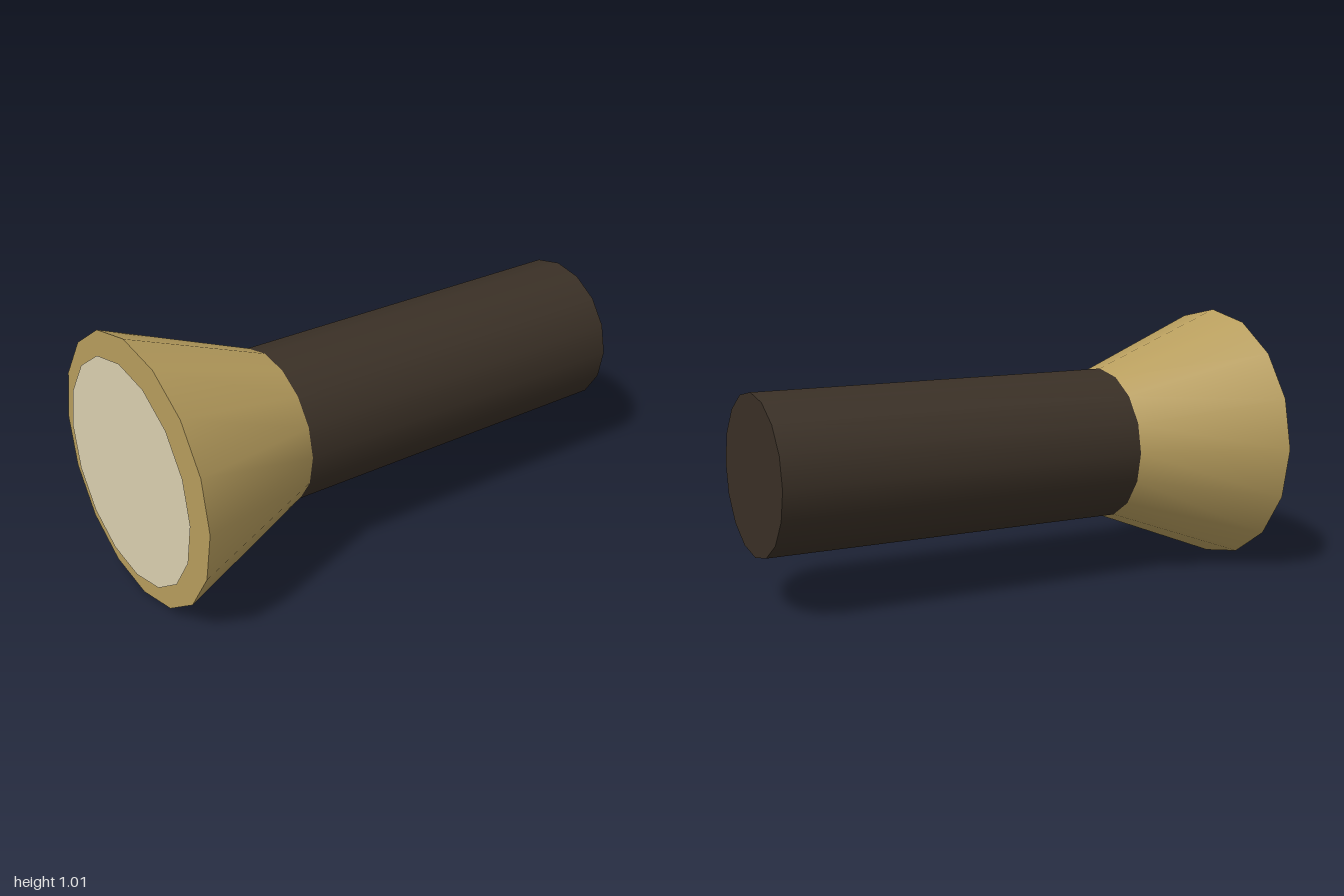
import * as THREE from 'three';

const SIDES = 16;
const AXIS_Y = 0.504;

// Capped tube or cone along z, from zBack to zFront
function barrel(name, rFront, rBack, zBack, zFront, material) {
  const geometry = new THREE.CylinderGeometry(rFront, rBack, zFront - zBack, SIDES);
  geometry.rotateX(Math.PI / 2);
  const mesh = new THREE.Mesh(geometry, material);
  mesh.name = name;
  mesh.position.set(0, AXIS_Y, (zBack + zFront) / 2);
  return mesh;
}

function paint(name, color) {
  const material = new THREE.MeshStandardMaterial({ color });
  material.name = name;
  return material;
}

export function createModel() {
  const dark = paint('dark brown', 0x3a3026);
  const brass = paint('brass', 0xb89e5e);
  const glass = paint('pale glass', 0xdcd1b1);

  const group = new THREE.Group();
  group.name = 'flashlight';

  // Handle and flared head
  group.add(barrel('handle', 0.293, 0.293, -1, 0.43, dark));
  group.add(barrel('head', 0.504, 0.293, 0.43, 0.977, brass));

  // Flat lens just ahead of the rim
  const lens = new THREE.Mesh(new THREE.CircleGeometry(0.419, SIDES), glass);
  lens.name = 'lens';
  lens.position.set(0, AXIS_Y, 1);
  group.add(lens);

  return group;
}
